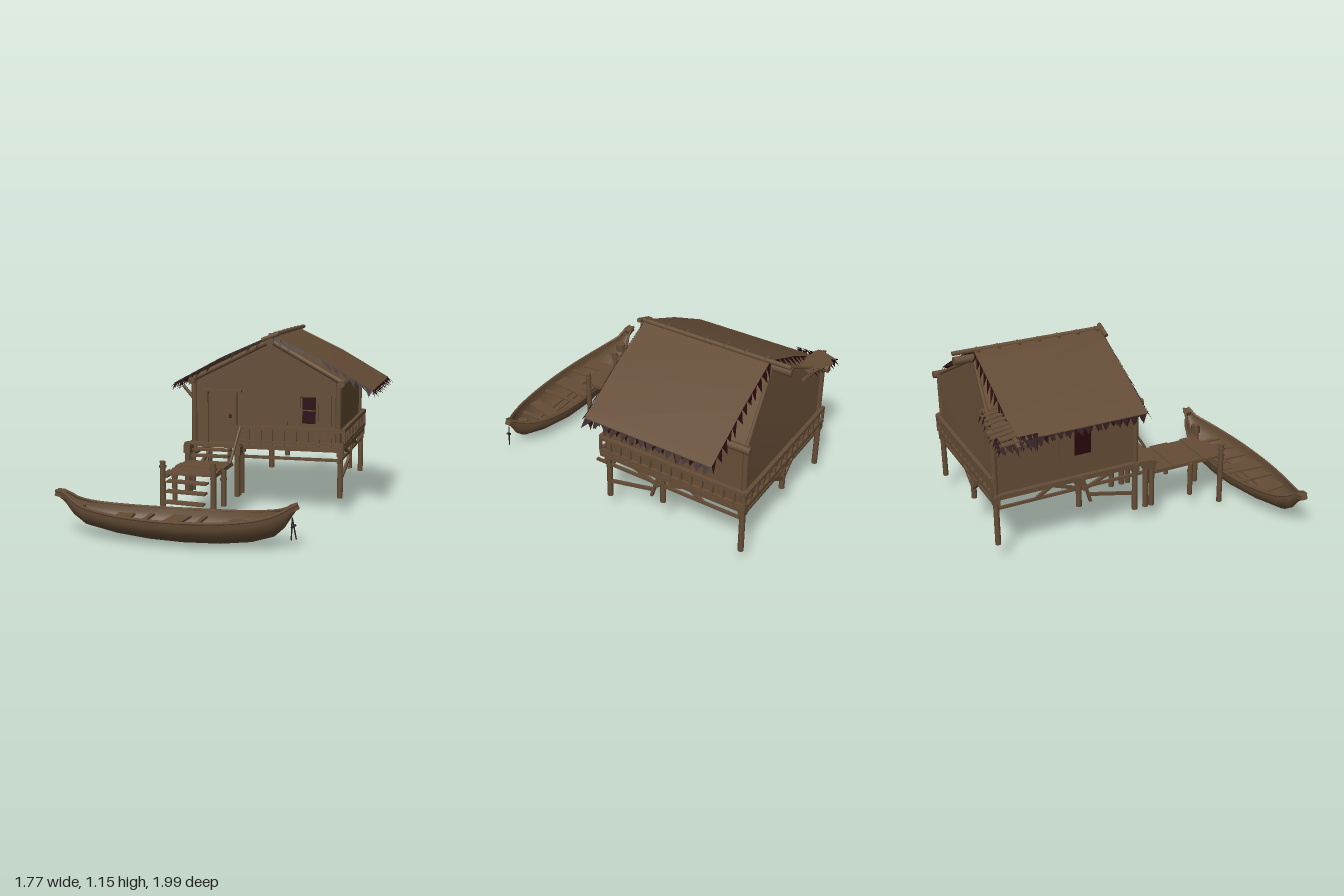
import * as THREE from 'three';
import { toCreasedNormals } from 'three/addons/utils/BufferGeometryUtils.js';

export function createModel() {
  const model = new THREE.Group();
  const material = (name, color, side = THREE.FrontSide) => {
    const m = new THREE.MeshStandardMaterial({ color, side });
    m.name = name;
    return m;
  };
  const wood = material('weathered wood', 0x654d36);
  const reed = material('dark reed', 0x250a0c, THREE.DoubleSide);
  const thatch = material('thatch', 0x634b35, THREE.DoubleSide);
  const curtain = material('window red', 0x2b080d);
  const rope = material('rope', 0x2a231b);

  let seed = 7;
  const rand = () => (seed = (seed * 16807) % 2147483647) / 2147483647;
  const V = (p) => new THREE.Vector3(...p);

  const add = (name, geo, mat = wood) => {
    const mesh = new THREE.Mesh(geo, mat);
    mesh.name = name;
    model.add(mesh);
    return mesh;
  };
  // Box given by its minimum and maximum corners
  const box = (name, a, b, mat) => {
    const mesh = add(name, new THREE.BoxGeometry(b[0] - a[0], b[1] - a[1], b[2] - a[2]), mat);
    mesh.position.addVectors(V(a), V(b)).multiplyScalar(0.5);
  };
  // Squared timber between two points
  const beam = (name, a, b, w = 0.02, h = w, mat = wood) => {
    const mesh = add(name, new THREE.BoxGeometry(w, h, V(a).distanceTo(V(b))), mat);
    mesh.position.addVectors(V(a), V(b)).multiplyScalar(0.5);
    mesh.lookAt(V(b));
  };
  // Round pole between two points
  const pole = (name, a, b, r = 0.02, mat = wood) => {
    const d = V(b).sub(V(a));
    const mesh = add(name, new THREE.CylinderGeometry(r, r, d.length(), 10), mat);
    mesh.position.addVectors(V(a), V(b)).multiplyScalar(0.5);
    mesh.quaternion.setFromUnitVectors(new THREE.Vector3(0, 1, 0), d.normalize());
  };
  // Row of ragged reed teeth from a to b, pointing along dir
  const fringe = (name, a, b, n, dir) => {
    const A = V(a), step = V(b).sub(A).divideScalar(n), pos = [];
    for (let i = 0; i < n; i++) {
      const p = A.clone().addScaledVector(step, i);
      const q = p.clone().addScaledVector(step, 0.95);
      const tip = p.clone().addScaledVector(step, 0.1 + rand() * 0.8).addScaledVector(V(dir), 0.7 + rand() * 0.5);
      pos.push(...p.toArray(), ...q.toArray(), ...tip.toArray());
    }
    const g = new THREE.BufferGeometry();
    g.setAttribute('position', new THREE.Float32BufferAttribute(pos, 3));
    g.computeVertexNormals();
    add(name, g, reed);
  };
  const extrudeZ = (points, z0, z1) => {
    const shape = new THREE.Shape(points.map((p) => new THREE.Vector2(...p)));
    return new THREE.ExtrudeGeometry(shape, { depth: z1 - z0, bevelEnabled: false }).translate(0, 0, z0);
  };

  // House body, its back gable leaning inward towards the ridge
  const body = extrudeZ([[-0.31, 0.42], [0.62, 0.42], [0.62, 0.84], [0.19, 1.08], [-0.31, 0.83]], -0.95, -0.04);
  const bp = body.attributes.position;
  for (let i = 0; i < bp.count; i++)
    if (bp.getY(i) > 1 && bp.getZ(i) < -0.5) bp.setZ(i, -0.85);
  add('houseWalls', toCreasedNormals(body, 0.45));
  box('floor', [-0.34, 0.405, -0.97], [0.66, 0.435, 0]);
  for (const x of [-0.31, 0.62]) for (const z of [-0.04, -0.95])
    pole('wallCornerPost', [x, 0.43, z], [x, 0.84, z], 0.018);

  // Roof frame: ridge, eaves and gable poles
  pole('ridgePole', [0.19, 1.085, 0], [0.19, 1.085, -0.985], 0.026);
  pole('ridgeCap', [0.21, 1.125, -0.01], [0.21, 1.125, -0.985], 0.014);
  pole('rightEavePole', [0.64, 0.83, 0], [0.64, 0.83, -0.985], 0.023);
  pole('leftEavePole', [-0.32, 0.83, 0], [-0.32, 0.83, -0.99], 0.023);
  pole('gablePole', [0.19, 1.09, -0.025], [0.65, 0.835, -0.025], 0.017);
  pole('gablePole', [0.19, 1.09, -0.025], [-0.32, 0.835, -0.025], 0.017);
  pole('backGablePole', [0.19, 1.08, -0.86], [0.62, 0.84, -0.95], 0.01);
  pole('backGablePole', [0.19, 1.08, -0.86], [-0.31, 0.83, -0.95], 0.01);
  pole('ridgeKnot', [0.14, 1.095, -0.01], [0.245, 1.135, -0.01], 0.014);
  for (let i = 0; i < 7; i++)
    pole('ridgeTie', [0.175, 1.125, -0.05 - i * 0.13], [0.22, 1.13, -0.05 - i * 0.13], 0.01);

  // Thin, slightly bowed thatch slopes with ragged edges
  for (const [s, ex, ey] of [[1, 0.83, 0.795], [-1, -0.44, 0.81]]) {
    const mx = (0.2 + ex) / 2, my = (1.125 + ey) / 2 + 0.016;
    const pts = [[0.2, 1.125], [mx, my], [ex, ey], [ex, ey - 0.006], [mx, my - 0.006], [0.2, 1.119]];
    add('thatchSlope', toCreasedNormals(extrudeZ(s > 0 ? pts.reverse() : pts, -0.855, -0.03), 0.5), thatch);
    const ix = ex - s * 0.005, ux = ex - s * 0.07;
    fringe('eaveFringe', [ix, ey, -0.03], [ix, ey, -0.855], 14, [s * 0.045, -0.035, 0]);
    fringe('eaveFringe', [ix, ey, -0.04], [ix, ey, -0.85], 17, [s * 0.015, -0.05, 0]);
    fringe('eaveUnderFringe', [ux, ey + 0.025, -0.03], [ux, ey + 0.025, -0.855], 17, [s * 0.06, -0.07, 0]);
    for (const [z, out] of [[-0.029, 0.03], [-0.856, -0.025]])
      for (const [p, q] of [[[0.2, 1.125], [mx, my]], [[mx, my], [ex, ey]]])
        fringe('rakeFringe', [...p, z], [...q, z], 6, [s * 0.025, -0.055, out]);
  }

  // Ragged awning over the back corner
  for (let i = 0; i < 9; i++) {
    const x = -0.47 + i * 0.038, y = 0.825 + i * 0.01;
    beam('awningReed', [x, y + rand() * 0.02, -0.85], [x + 0.02, y - 0.015, -0.95 - rand() * 0.04], 0.042, 0.008, thatch);
  }
  fringe('awningFringe', [-0.46, 0.82, -0.7], [-0.48, 0.81, -0.98], 7, [-0.05, -0.05, 0]);
  fringe('awningFringe', [-0.43, 0.83, -0.72], [-0.43, 0.83, -0.98], 7, [-0.04, -0.08, 0]);
  fringe('awningBackFringe', [-0.48, 0.81, -0.95], [-0.15, 0.9, -0.95], 9, [-0.02, -0.05, -0.035]);
  beam('awningSlat', [-0.52, 0.81, -0.87], [-0.3, 0.875, -0.87], 0.02, 0.012);
  pole('awningPole', [-0.48, 0.79, -0.93], [-0.1, 0.86, -0.93], 0.012);
  pole('awningPole', [-0.48, 0.79, -0.82], [-0.2, 0.84, -0.82], 0.012);
  for (const z of [-0.06, -0.5, -0.93])
    pole('eaveStrut', [-0.32, 0.71, z], [-0.39, 0.79, z], 0.011);

  // Door with frame and handle
  box('door', [-0.22, 0.44, -0.041], [-0.05, 0.74, -0.033]);
  for (const x of [-0.24, -0.05]) box('doorJamb', [x, 0.43, -0.045], [x + 0.025, 0.76, -0.015]);
  box('doorLintel', [-0.255, 0.76, -0.045], [0.005, 0.775, -0.01]);
  box('doorHandle', [-0.075, 0.595, -0.035], [-0.062, 0.617, -0.02], rope);

  // Windows with open shutters on the front and the left-hand wall
  box('windowPane', [0.385, 0.575, -0.041], [0.48, 0.74, -0.034], curtain);
  for (const x of [0.29, 0.482]) {
    box('shutter', [x, 0.565, -0.045], [x + 0.095, 0.75, -0.024]);
    for (const dx of [0, 0.08]) box('shutterStile', [x + dx, 0.565, -0.03], [x + dx + 0.015, 0.75, -0.017]);
  }
  box('windowBar', [0.385, 0.655, -0.036], [0.482, 0.661, -0.027]);
  box('windowPost', [0.385, 0.575, -0.036], [0.395, 0.74, -0.027]);
  box('sideWindowPane', [-0.318, 0.57, -0.46], [-0.309, 0.74, -0.34], curtain);
  for (const z of [-0.55, -0.34]) box('sideShutter', [-0.345, 0.56, z], [-0.31, 0.75, z + 0.09]);
  box('sideWindowLintel', [-0.34, 0.75, -0.56], [-0.31, 0.77, -0.24]);

  // Balustrades along the front, right and back
  const balustrade = (a, b, n) => {
    const at = (t, y) => [a[0] + (b[0] - a[0]) * t, y, a[1] + (b[1] - a[1]) * t];
    beam('topRail', at(0, 0.54), at(1, 0.54), 0.024, 0.022);
    beam('bottomRail', at(0, 0.452), at(1, 0.452), 0.018, 0.018);
    for (let i = 0; i <= n; i++) beam('baluster', at(i / n, 0.43), at(i / n, 0.54), 0.015);
  };
  balustrade([-0.02, -0.005], [0.655, -0.005], 9);
  balustrade([0.655, -0.005], [0.655, -0.975], 14);
  balustrade([0.655, -0.975], [-0.33, -0.975], 14);

  // Stilts with cap blocks
  for (const [x, z, y] of [[-0.325, -0.05, 0.11], [0.0, -0.05, 0.11], [0.635, -0.05, 0.11], [-0.325, -0.955, 0.11],
    [0.635, -0.955, 0.11], [0.11, -0.43, 0.21], [0.11, -0.94, 0.2], [-0.325, 0.025, 0.11], [0.0, 0.025, 0.11],
    [-0.325, 0.067, 0.11], [0.0, 0.067, 0.11], [0.635, -0.43, 0.23], [-0.325, -0.43, 0.23]]) {
    pole('stilt', [x, y, z], [x, 0.41, z], 0.018);
    box('stiltCap', [x - 0.022, 0.375, z - 0.02], [x + 0.022, 0.43, z + 0.02]);
  }
  // Cross braces below the floor
  for (const x of [-0.32, 0.635]) {
    beam('sideBrace', [x, 0.35, 0.04], [x, 0.345, -0.95], 0.016);
    beam('sideBrace', [x, 0.22, -0.05], [x, 0.29, -0.36], 0.018);
    beam('sideBrace', [x, 0.24, -0.35], [x, 0.41, -0.4], 0.018);
    beam('sideBrace', [x, 0.34, -0.4], [x, 0.41, -0.6], 0.018);
    beam('sideBrace', [x, 0.33, -0.4], [x, 0.41, -0.2], 0.018);
    beam('sideBrace', [x, 0.35, -0.7], [x, 0.41, -0.6], 0.018);
  }
  beam('crossBrace', [0, 0.345, -0.06], [0.63, 0.345, -0.06], 0.018);
  beam('crossBrace', [-0.32, 0.345, -0.94], [0.63, 0.345, -0.94], 0.018);
  for (const x of [-0.06, 0.33]) beam('crossBrace', [0.11, 0.27, -0.94], [x, 0.41, -0.94], 0.022);

  // Landing, steps and jetty
  box('landing', [-0.35, 0.425, 0], [0.01, 0.438, 0.06]);
  for (const [y, z] of [[0.4, 0.085], [0.365, 0.115]]) box('houseStep', [-0.28, y, z - 0.03], [-0.04, y + 0.012, z + 0.03]);
  for (let i = 0; i < 4; i++) {
    const w = rand() * 0.012, z = 0.112 + i * 0.112, y = i % 2 * 0.003;
    box('jettyPlank', [-0.325 + w, 0.326 + y, z], [-0.01 - w, 0.338 + y, z + 0.11]);
  }
  for (const x of [-0.32, -0.01]) {
    beam('jettyBearer', [x * 0.9 - 0.015, 0.32, 0.1], [x * 0.9 - 0.015, 0.32, 0.57], 0.018, 0.012);
    pole('mooringPost', [x, 0, 0.575], [x, 0.415, 0.575], 0.017);
    pole('mooringPostBand', [x, 0.375, 0.575], [x, 0.39, 0.575], 0.021);
    pole('jettyPost', [x, 0.11, 0.35], [x, 0.33, 0.35], 0.016);
    pole('jettyPostBand', [x, 0.27, 0.35], [x, 0.285, 0.35], 0.021);
  }
  pole('handrail', [-0.015, 0.34, 0.19], [0.02, 0.555, 0.065], 0.009);
  for (const [y, z] of [[0.3, 0.6], [0.245, 0.625], [0.19, 0.665]])
    beam('boatStep', [-0.28, y + 0.004, z], [-0.04, y - 0.004, z], 0.065, 0.011);

  // Boat hull: stations of x, half width, keel height, sheer height
  const stations = [[-0.885, 0.018, 0.235, 0.262], [-0.83, 0.025, 0.19, 0.255], [-0.78, 0.04, 0.125, 0.22],
    [-0.7, 0.08, 0.07, 0.19], [-0.5, 0.135, 0.03, 0.165], [-0.3, 0.165, 0.01, 0.156], [-0.1, 0.173, 0.003, 0.155],
    [0.1, 0.163, 0.008, 0.16], [0.28, 0.13, 0.03, 0.175], [0.41, 0.08, 0.07, 0.2], [0.47, 0.04, 0.125, 0.225],
    [0.51, 0.025, 0.19, 0.25], [0.54, 0.018, 0.235, 0.262]];
  // Hard-chined section: share of half width, share of height
  const quarter = [[1, 1], [0.97, 0.75], [0.9, 0.52], [0.6, 0.27], [0.3, 0.09]];
  const outer = [...quarter, [0, 0], ...quarter.map(([t, h]) => [-t, h]).reverse()];
  const zc = 0.823, pos = [], idx = [], half = outer.length, ring = half * 2;
  for (const [x, w, k, s] of stations)
    for (let j = 0; j < ring; j++) {
      const inner = j >= half, [t, h] = outer[inner ? ring - 1 - j : j];
      const keel = inner ? k + (s - k) * 0.12 : k;
      pos.push(x, keel + (s - keel) * h, zc + t * w * (inner ? 0.92 : 1));
    }
  for (let i = 0; i < stations.length - 1; i++)
    for (let j = 0; j < ring; j++) {
      const a = i * ring + j, b = i * ring + ((j + 1) % ring), c = a + ring, d = b + ring;
      idx.push(a, b, c, b, d, c);
    }
  const hull = new THREE.BufferGeometry();
  hull.setAttribute('position', new THREE.Float32BufferAttribute(pos, 3));
  hull.setIndex(idx);
  add('boatHull', toCreasedNormals(hull, 0.95));

  // Gunwale rails, stem blocks, thwarts and ribs
  for (const side of [-1, 1]) {
    const path = new THREE.CatmullRomCurve3(stations.map(([x, w, , s]) => new THREE.Vector3(x, s, zc + side * w * 0.96)));
    add('gunwale', new THREE.TubeGeometry(path, 36, 0.009, 6));
    beam('boatStringer', [-0.6, 0.075, zc + side * 0.025], [0.3, 0.075, zc + side * 0.025], 0.014, 0.01);
  }
  beam('bowBlock', [-0.887, 0.25, zc], [-0.83, 0.235, zc], 0.04, 0.035);
  beam('sternBlock', [0.541, 0.25, zc], [0.5, 0.23, zc], 0.04, 0.035);
  for (const [x, w, tilt, hw] of [[-0.485, 0.1, 0.01, 0.112], [-0.345, 0.028, 0, 0.135], [-0.175, 0.11, -0.012, 0.14],
    [-0.03, 0.025, 0, 0.145], [0.155, 0.08, -0.03, 0.125], [0.255, 0.025, 0, 0.112], [-0.68, 0.025, 0, 0.065]])
    beam('thwart', [x - tilt, 0.12, zc - hw], [x + tilt, 0.12, zc + hw], w, 0.012);
  for (const x of [-0.74, 0.4]) pole('mooringBitt', [x, 0.13, zc], [x, 0.185, zc], 0.032);
  // Hanging mooring rope
  for (const [dx, dz] of [[-0.012, 0.01], [0.012, -0.01]])
    pole('mooringRope', [0.515, 0.19, zc + 0.02], [0.525 + dx, 0.065, zc + 0.02 + dz], 0.004, rope);
  pole('ropeKnot', [0.51, 0.13, zc + 0.02], [0.535, 0.15, zc + 0.02], 0.007, rope);
  return model;
}
